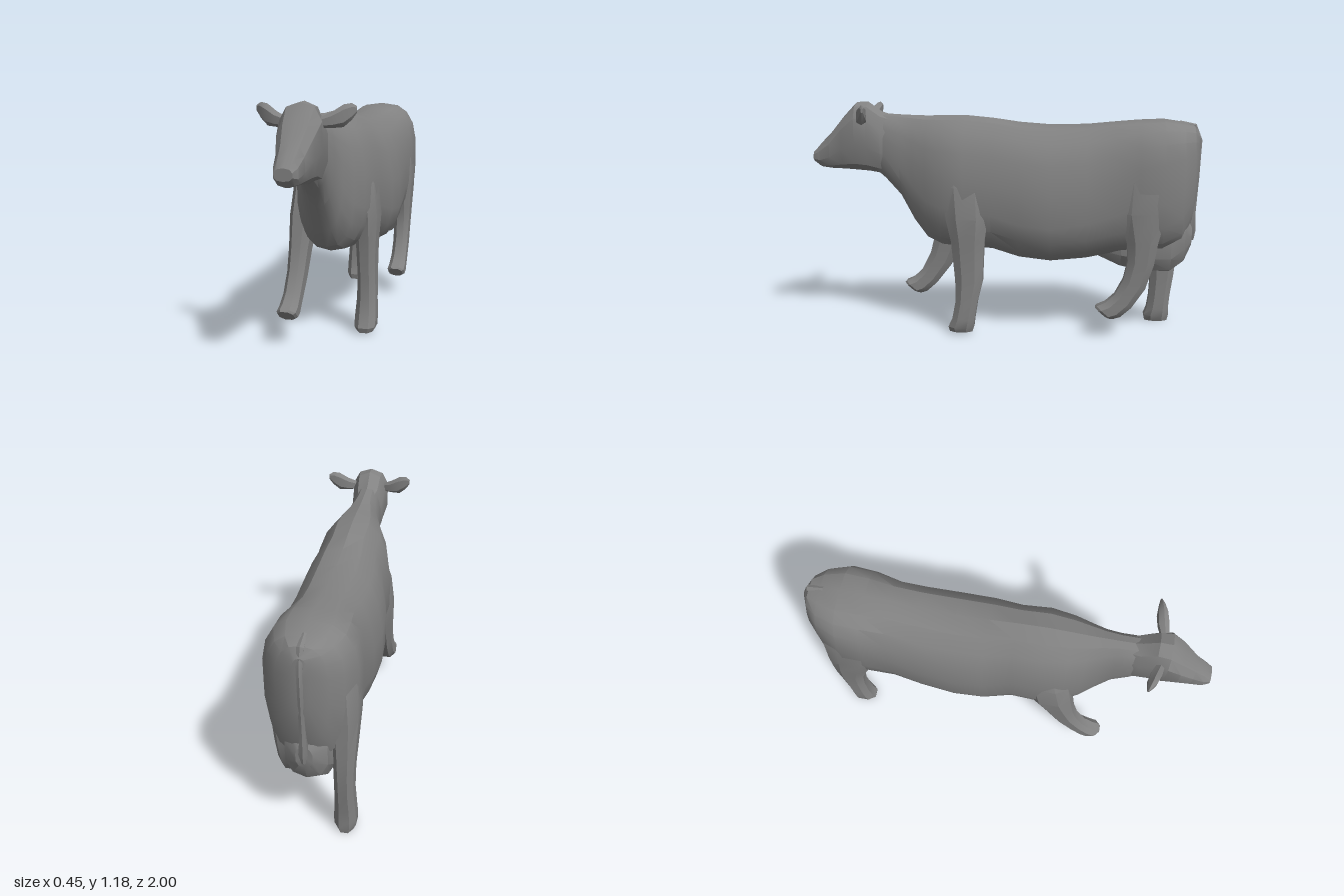
import * as THREE from 'three';
import { toCreasedNormals } from 'three/addons/utils/BufferGeometryUtils.js';

const material = new THREE.MeshStandardMaterial({ color: 0x828282, side: THREE.DoubleSide });

// One cross-section: centre, half width, reach to either side along the depth axis,
// and tilt of that axis in the yz plane (0 = forward, 90 = up).
function section(x, y, z, halfWidth, plus, minus, tilt, sides, power) {
  const t = THREE.MathUtils.degToRad(tilt), ring = [];
  const round = (v) => Math.sign(v) * Math.abs(v) ** power;
  for (let i = 0; i < sides; i++) {
    const a = ((i + 0.5) / sides) * Math.PI * 2;
    const s = round(Math.sin(a)), d = s * (s > 0 ? plus : minus);
    ring.push([x + round(Math.cos(a)) * halfWidth, y + d * Math.sin(t), z + d * Math.cos(t)]);
  }
  return ring;
}

// Skin joining consecutive cross-sections, closed at both ends
function loft(name, rings) {
  const n = rings[0].length, last = (rings.length - 1) * n, index = [];
  const points = rings.flat();
  const centre = (ring) => [0, 1, 2].map((k) => ring.reduce((sum, p) => sum + p[k], 0) / n);
  points.push(centre(rings[0]), centre(rings[rings.length - 1]));
  for (let j = 0; j < n; j++) {
    const k = (j + 1) % n;
    for (let r = 0; r < last; r += n) index.push(r + j, r + k, r + n + k, r + j, r + n + k, r + n + j);
    index.push(last + n, k, j, last + n + 1, last + j, last + k);
  }
  const geometry = new THREE.BufferGeometry();
  geometry.setAttribute('position', new THREE.Float32BufferAttribute(points.flat(), 3));
  geometry.setIndex(index);
  const mesh = new THREE.Mesh(toCreasedNormals(geometry, 0.5), material);
  mesh.name = name;
  return mesh;
}

// Lengthwise part from rows of [z, top, bottom, half width, height of widest point, roundness]
const barrel = (name, rows, sides) => loft(name, rows.map(([z, top, bottom, w, wide, power = 0.85]) =>
  section(0, wide, z, w, top - wide, wide - bottom, 90, sides, power)));

// Limb from rows of [x, y, z, half width, half depth, tilt]
const limb = (name, rows, sides = 8) => loft(name, rows.map(([x, y, z, w, d, tilt]) =>
  section(x, y, z, w, d, d, tilt, sides, 0.85)));

export function createModel() {
  const cow = new THREE.Group();
  cow.name = 'cow';

  // Trunk and neck, squarer over the hips
  cow.add(barrel('body', [
    [-0.985, 1.03, 0.76, 0.04, 0.92],
    [-0.955, 1.07, 0.58, 0.115, 0.88, 0.8],
    [-0.9, 1.085, 0.46, 0.17, 0.85, 0.74],
    [-0.8, 1.1, 0.42, 0.212, 0.8, 0.72],
    [-0.68, 1.095, 0.42, 0.212, 0.77, 0.74],
    [-0.56, 1.085, 0.41, 0.202, 0.7, 0.8],
    [-0.42, 1.072, 0.38, 0.218, 0.65],
    [-0.24, 1.068, 0.363, 0.23, 0.62],
    [-0.08, 1.08, 0.38, 0.224, 0.64],
    [0.06, 1.1, 0.42, 0.195, 0.68],
    [0.2, 1.113, 0.425, 0.203, 0.7],
    [0.32, 1.112, 0.435, 0.175, 0.72],
    [0.4, 1.11, 0.47, 0.14, 0.75],
    [0.47, 1.112, 0.56, 0.105, 0.82],
    [0.54, 1.115, 0.69, 0.085, 0.9],
    [0.62, 1.12, 0.78, 0.08, 0.95],
    [0.68, 1.12, 0.83, 0.06, 0.97],
  ], 18));

  // Head with sloping face and blunt muzzle
  cow.add(barrel('head', [
    [0.56, 1.105, 0.8, 0.06, 0.96],
    [0.64, 1.13, 0.808, 0.086, 0.98],
    [0.71, 1.18, 0.82, 0.092, 1.03],
    [0.77, 1.178, 0.825, 0.1, 1.05],
    [0.84, 1.105, 0.83, 0.088, 1.0],
    [0.91, 1.02, 0.833, 0.066, 0.93],
    [0.965, 0.965, 0.84, 0.056, 0.9],
    [1.0, 0.925, 0.87, 0.042, 0.895],
  ], 10));

  // Broad pointed ears, built along z and swung out to each side
  for (const side of [1, -1]) {
    const ear = limb(side > 0 ? 'leftEar' : 'rightEar', [
      [0, -0.01, 0, 0.02, 0.022, 90],
      [0, 0.0, 0.05, 0.028, 0.034, 90],
      [0, 0.018, 0.1, 0.025, 0.048, 90],
      [0, 0.036, 0.135, 0.014, 0.036, 90],
      [0, 0.045, 0.158, 0.005, 0.014, 90],
    ], 6);
    ear.position.set(side * 0.075, 1.1, 0.735);
    ear.rotation.y = side * THREE.MathUtils.degToRad(107);
    cow.add(ear);
  }

  // Udder between the hind legs
  cow.add(barrel('udder', [
    [-0.96, 0.56, 0.45, 0.04, 0.5],
    [-0.92, 0.62, 0.36, 0.1, 0.5],
    [-0.85, 0.65, 0.31, 0.12, 0.46, 0.75],
    [-0.72, 0.65, 0.31, 0.125, 0.46, 0.75],
    [-0.6, 0.6, 0.335, 0.11, 0.46, 0.8],
    [-0.48, 0.5, 0.39, 0.06, 0.45],
  ], 10));

  // Tail hanging down the rump, with a tuft
  cow.add(limb('tail', [
    [0, 1.08, -0.88, 0.012, 0.012, -70],
    [0, 1.06, -0.955, 0.018, 0.018, -50],
    [0, 0.99, -0.984, 0.016, 0.015, -10],
    [0, 0.8, -0.978, 0.014, 0.013, 0],
    [0, 0.62, -0.965, 0.016, 0.015, 0],
    [0, 0.53, -0.962, 0.024, 0.022, 0],
    [0, 0.48, -0.965, 0.01, 0.01, 0],
  ], 6));

  // Standing left foreleg
  cow.add(limb('leftForeleg', [
    [0.1, 0.96, 0.2, 0.04, 0.07, 0],
    [0.135, 0.76, 0.19, 0.064, 0.12, 0],
    [0.148, 0.6, 0.18, 0.066, 0.115, 0],
    [0.15, 0.48, 0.177, 0.055, 0.09, 0],
    [0.15, 0.38, 0.175, 0.05, 0.082, 0],
    [0.152, 0.28, 0.172, 0.048, 0.075, 0],
    [0.152, 0.17, 0.185, 0.051, 0.06, 0],
    [0.152, 0.08, 0.201, 0.057, 0.062, 0],
    [0.152, 0.035, 0.214, 0.056, 0.07, 0],
    [0.152, 0.01, 0.214, 0.042, 0.062, 0],
  ]));

  // Raised right foreleg, stepping forward
  cow.add(limb('rightForeleg', [
    [-0.1, 0.96, 0.21, 0.04, 0.07, 0],
    [-0.135, 0.76, 0.235, 0.064, 0.12, 0],
    [-0.148, 0.6, 0.265, 0.066, 0.115, 5],
    [-0.155, 0.44, 0.32, 0.052, 0.082, 15],
    [-0.158, 0.32, 0.365, 0.047, 0.07, 32],
    [-0.16, 0.22, 0.43, 0.046, 0.058, 42],
    [-0.16, 0.172, 0.482, 0.05, 0.056, 45],
    [-0.16, 0.158, 0.518, 0.051, 0.056, 40],
    [-0.16, 0.154, 0.532, 0.042, 0.048, 40],
  ]));

  // Left hind leg, stepping forward
  cow.add(limb('leftHindLeg', [
    [0.11, 0.98, -0.74, 0.06, 0.1, 0],
    [0.14, 0.8, -0.715, 0.072, 0.15, 0],
    [0.152, 0.64, -0.695, 0.066, 0.125, 0],
    [0.155, 0.49, -0.7, 0.053, 0.082, 0],
    [0.155, 0.39, -0.695, 0.047, 0.07, 8],
    [0.155, 0.28, -0.665, 0.045, 0.064, 25],
    [0.155, 0.19, -0.61, 0.046, 0.058, 40],
    [0.155, 0.145, -0.56, 0.05, 0.056, 45],
    [0.155, 0.13, -0.52, 0.051, 0.055, 40],
    [0.155, 0.126, -0.506, 0.042, 0.047, 40],
  ]));

  // Standing right hind leg
  cow.add(limb('rightHindLeg', [
    [-0.11, 0.98, -0.76, 0.06, 0.1, 0],
    [-0.14, 0.8, -0.755, 0.072, 0.15, 0],
    [-0.152, 0.64, -0.78, 0.066, 0.13, 0],
    [-0.155, 0.49, -0.815, 0.056, 0.1, 0],
    [-0.155, 0.37, -0.835, 0.049, 0.078, 0],
    [-0.155, 0.25, -0.835, 0.047, 0.065, 0],
    [-0.157, 0.14, -0.825, 0.052, 0.059, 0],
    [-0.157, 0.07, -0.817, 0.056, 0.061, 0],
    [-0.157, 0.03, -0.81, 0.054, 0.07, 0],
    [-0.157, 0.0, -0.81, 0.04, 0.064, 0],
  ]));

  return cow;
}
